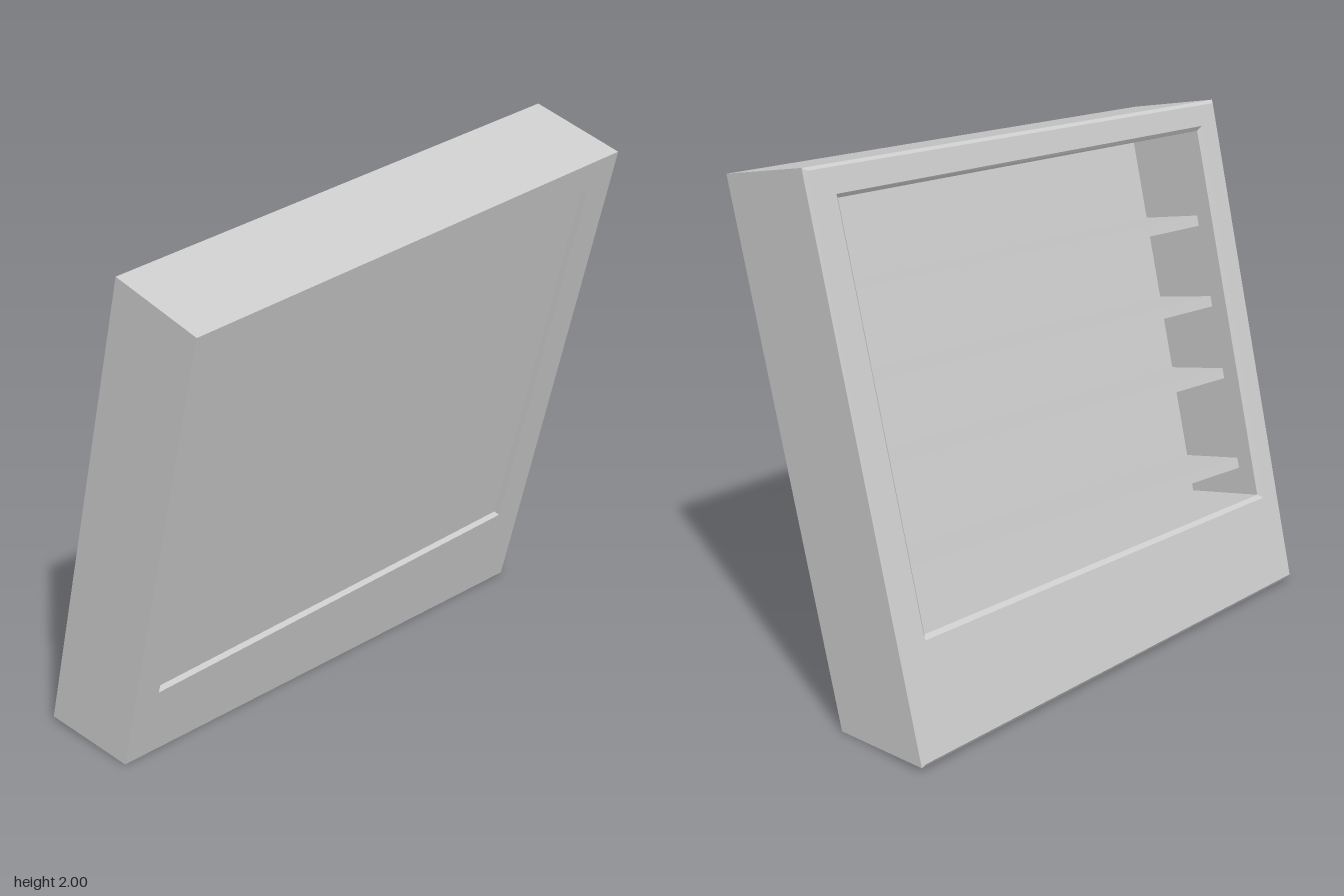
import * as THREE from 'three';

const material = new THREE.MeshStandardMaterial({ color: 0xcccccc, flatShading: true });

// Leaning frame: z across, v up the slope, d from the overhanging side to the open side
const LEAN = Math.atan2(0.445, 1.76), S = Math.sin(LEAN), C = Math.cos(LEAN);
const place = (z, v, d) => [-0.04 + S * v - C * d, C * v + S * d, z];

// Four-cornered cross-section at depth d: [z, v] bottom near, bottom far, top far, top near
const ring = (d, quad) => quad.map(([z, v]) => place(z, v, d));

// Moves the edges of a quad outward (positive) or inward (negative)
const grow = (quad, g) => quad.map(([z, v], i) => [z + Math.sign(z) * g, v + (i < 2 ? -g : g)]);

// Skins a row of cross-sections, with optional end faces
function loft(name, rings, capStart = false, capEnd = false) {
  const pos = [];
  const tri = (...points) => points.forEach((p) => pos.push(...p));
  const first = rings[0], last = rings[rings.length - 1];
  if (capStart) { tri(first[0], first[1], first[2]); tri(first[0], first[2], first[3]); }
  for (let k = 0; k < rings.length - 1; k++) {
    const a = rings[k], b = rings[k + 1];
    for (let i = 0; i < 4; i++) {
      const j = (i + 1) % 4;
      tri(a[i], b[i], b[j]);
      tri(a[i], b[j], a[j]);
    }
  }
  if (capEnd) { tri(last[0], last[2], last[1]); tri(last[0], last[3], last[2]); }
  const geometry = new THREE.BufferGeometry();
  geometry.setAttribute('position', new THREE.Float32BufferAttribute(pos, 3));
  geometry.computeVertexNormals();
  const mesh = new THREE.Mesh(geometry, material);
  mesh.name = name;
  return mesh;
}

export function createModel() {
  const group = new THREE.Group();
  group.name = 'leaningShelfCabinet';

  const outline = [[0.997, 0], [-0.997, 0], [-0.997, 1.964], [0.997, 1.815]];
  const openOutline = outline.map(([z, v], i) => [z, i < 2 ? -0.079 : v]);
  const opening = [[0.89, 0.289], [-0.872, 0.351], [-0.872, 1.841], [0.89, 1.717]];

  // Shallow panel on the overhanging side
  group.add(loft('recessedPanel', [ring(0.025, opening), ring(0, opening)], true));

  // Outer case, chamfered around the open side
  group.add(loft('case', [
    ring(0, opening),
    ring(0, outline),
    ring(0.393, openOutline),
    ring(0.405, grow(openOutline, -0.012)),
    ring(0.405, grow(opening, 0.015)),
  ]));

  // Bevelled rim and the hollow behind it
  group.add(loft('openingRim', [ring(0.405, grow(opening, 0.015)), ring(0.39, opening)]));
  group.add(loft('cavity', [ring(0.39, opening), ring(0.06, opening)], false, true));

  // Shelves, parallel to the sloping top
  const shelves = new THREE.Group();
  shelves.name = 'shelves';
  for (const far of [0.57, 0.93, 1.215, 1.53]) {
    const near = far - 0.135, thick = 0.04;
    const board = [[0.895, near - thick], [-0.877, far - thick], [-0.877, far], [0.895, near]];
    shelves.add(loft('shelf', [ring(0.05, board), ring(0.32, board)], true, true));
  }
  group.add(shelves);
  return group;
}
